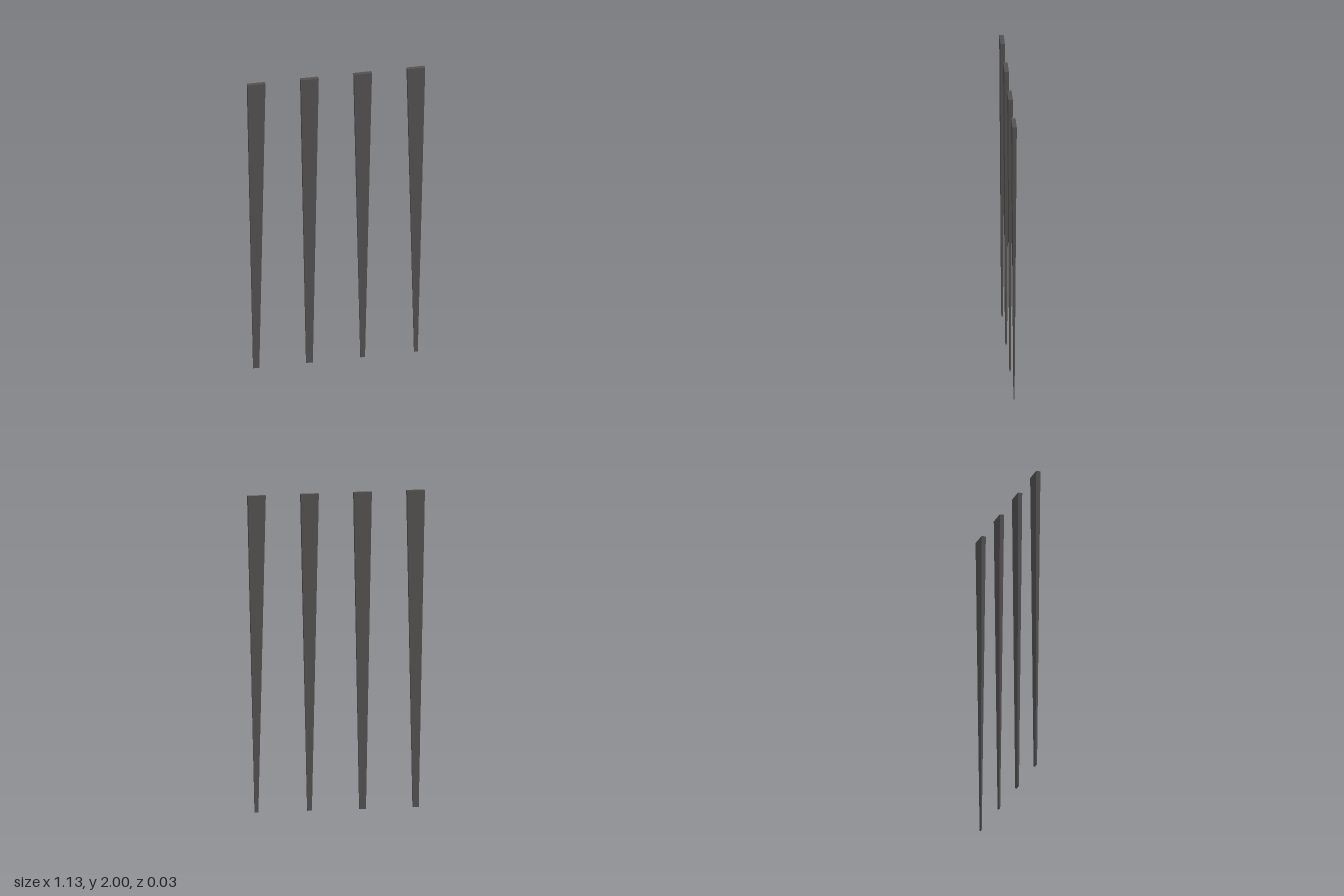
import * as THREE from 'three';

const HEIGHT = 2, WIDTH = 0.114, DEPTH = 0.028;

// Flat leg narrowing evenly towards its foot
function taperedLeg(footScale) {
  const geometry = new THREE.BoxGeometry(WIDTH, HEIGHT, DEPTH);
  geometry.translate(0, HEIGHT / 2, 0);
  const p = geometry.attributes.position;
  for (let i = 0; i < p.count; i++) {
    const s = THREE.MathUtils.lerp(footScale, 1, p.getY(i) / HEIGHT);
    p.setX(i, p.getX(i) * s);
    p.setZ(i, p.getZ(i) * s);
  }
  geometry.computeVertexNormals();
  return geometry;
}

export function createModel() {
  const model = new THREE.Group();
  model.name = 'taperedLegs';
  const darkGrey = new THREE.MeshStandardMaterial({ color: 0x535150 });
  darkGrey.name = 'darkGrey';

  // Row of four legs, each with its own foot size
  const footScales = [0.34, 0.37, 0.26, 0.21];
  footScales.forEach((scale, i) => {
    const leg = new THREE.Mesh(taperedLeg(scale), darkGrey);
    leg.name = `leg${i + 1}`;
    leg.position.x = (i - 1.5) * 0.34;
    model.add(leg);
  });
  return model;
}
